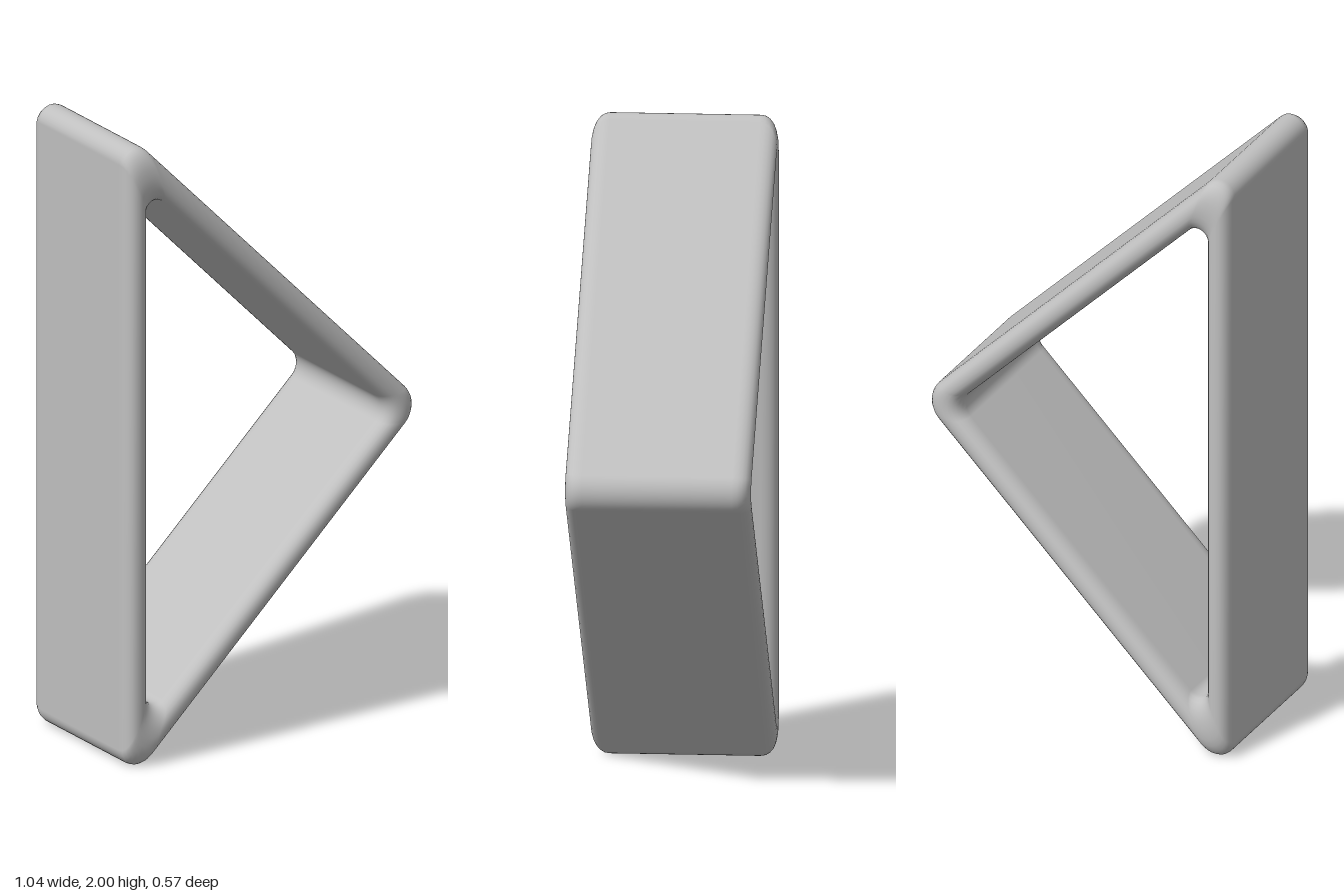
import * as THREE from 'three';

const HALF_DEPTH = 0.286; // half the frame's depth along z
const EDGE = 0.055;       // depth of the rounded rim
const ARC = 12;           // segments per rounded corner
const RIM = 12;           // segments across each rim

// Rounded triangle, counter-clockwise. Each corner joins two sides given by
// normal angle and distance from the centre, with its own fillet radius.
function roundedTriangle(leftDist, slopeDist, tipRadius, endRadius) {
  const corners = [
    [-45, slopeDist, 45, slopeDist, tipRadius],
    [45, slopeDist, 180, leftDist, endRadius],
    [180, leftDist, 315, slopeDist, endRadius],
  ];
  const points = [];
  for (const [deg1, d1, deg2, d2, r] of corners) {
    const a = THREE.MathUtils.degToRad(deg1);
    const b = THREE.MathUtils.degToRad(deg2);
    const det = Math.sin(b - a);
    const cx = ((d1 - r) * Math.sin(b) - (d2 - r) * Math.sin(a)) / det;
    const cy = ((d2 - r) * Math.cos(a) - (d1 - r) * Math.cos(b)) / det;
    for (let i = 0; i <= ARC; i++) {
      const t = a + (b - a) * i / ARC;
      points.push(new THREE.Vector2(cx + r * Math.cos(t), cy + r * Math.sin(t)));
    }
  }
  return points;
}

// Wall section: [0 = outer wall .. 1 = inner wall, z], with soft rims front and back
function wallSection() {
  const section = [];
  const soft = (v) => Math.sign(v) * Math.pow(Math.abs(v), 0.9);
  for (const side of [1, -1]) {
    for (let i = 0; i <= RIM; i++) {
      const a = Math.PI * i / RIM;
      const across = 0.5 - 0.5 * side * soft(Math.cos(a));
      section.push([across, side * (HALF_DEPTH - EDGE + EDGE * soft(Math.sin(a)))]);
    }
  }
  return section;
}

// Sweep the section around the two outlines
function frameGeometry() {
  const outer = roundedTriangle(0.52, 0.391, 0.08, 0.052);
  const inner = roundedTriangle(0.437, 0.308, 0.06, 0.04);
  const section = wallSection();
  const n = outer.length, m = section.length;
  const positions = [], indices = [];
  for (let i = 0; i < n; i++) {
    for (let j = 0; j < m; j++) {
      const [across, z] = section[j];
      const p = outer[i].clone().lerp(inner[i], across);
      positions.push(p.x, p.y + 1, z);
      const i2 = (i + 1) % n, j2 = (j + 1) % m;
      const a = i * m + j, b = i2 * m + j, c = i2 * m + j2, d = i * m + j2;
      indices.push(a, b, d, b, c, d);
    }
  }
  const geometry = new THREE.BufferGeometry();
  geometry.setAttribute('position', new THREE.Float32BufferAttribute(positions, 3));
  geometry.setIndex(indices);
  geometry.computeVertexNormals();
  return geometry;
}

export function createModel() {
  const grey = new THREE.MeshStandardMaterial({ color: 0xc0c0c0 });
  grey.name = 'light grey';
  const frame = new THREE.Mesh(frameGeometry(), grey);
  frame.name = 'triangularFrame';
  const model = new THREE.Group();
  model.name = 'triangleFrameModel';
  model.add(frame);
  return model;
}
